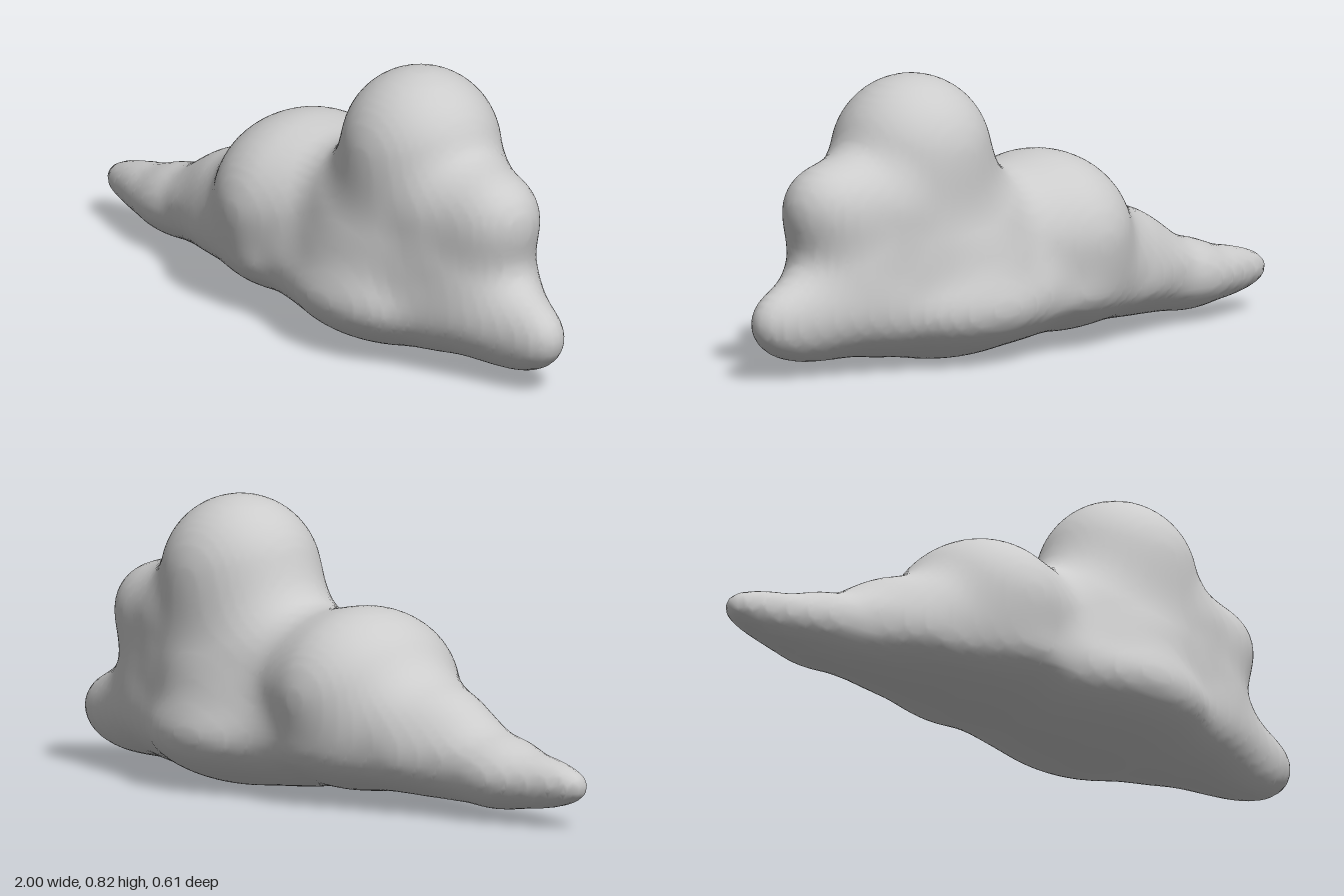
import * as THREE from 'three';

// Puffs of the cloud, all on the z = 0 plane: [x, y, radiusX, radiusY, radiusZ]
const PUFFS = [
  [-0.90, 0.125, 0.10, 0.056, 0.058],  // tail tip
  [-0.69, 0.127, 0.185, 0.09, 0.12],   // tail
  [-0.57, 0.16, 0.17, 0.083, 0.113],   // tail slope
  [-0.45, 0.205, 0.15, 0.135, 0.14],   // tail shoulder
  [-0.34, 0.23, 0.14, 0.14, 0.19],     // slope up to the mound
  [-0.29, 0.15, 0.28, 0.082, 0.18],    // underside
  [-0.08, 0.16, 0.27, 0.10, 0.25],     // underside, middle
  [-0.115, 0.31, 0.25, 0.243, 0.283],  // middle mound
  [0.08, 0.29, 0.20, 0.22, 0.218],     // saddle
  [0.22, 0.41, 0.16, 0.16, 0.19],      // slope up to the crown
  [0.30, 0.165, 0.36, 0.155, 0.303],   // wide base
  [0.32, 0.28, 0.27, 0.22, 0.258],     // flanks above the base
  [0.41, 0.40, 0.29, 0.22, 0.214],     // core under the crown
  [0.39, 0.593, 0.232, 0.23, 0.224],   // crown
  [0.59, 0.46, 0.14, 0.142, 0.16],     // slope down to the side puff
  [0.58, 0.26, 0.22, 0.18, 0.172],     // end flanks
  [0.62, 0.17, 0.22, 0.105, 0.155],    // base end
  [0.68, 0.31, 0.135, 0.18, 0.115],    // neck of the side puff
  [0.72, 0.475, 0.125, 0.117, 0.122],  // side puff
  [0.82, 0.165, 0.18, 0.115, 0.095],   // toe
];
const BLEND = 0.09;

function ellipsoid([cx, cy, rx, ry, rz], x, y, z) {
  const a = (x - cx) / rx, b = (y - cy) / ry, c = z / rz;
  const k0 = Math.hypot(a, b, c);
  const k1 = Math.hypot(a / rx, b / ry, c / rz);
  return k1 < 1e-6 ? -Math.min(rx, ry, rz) : k0 * (k0 - 1) / k1;
}

// Smooth union of all puffs, negative inside
function field(x, y, z) {
  let d = 10;
  for (const puff of PUFFS) {
    const e = ellipsoid(puff, x, y, z);
    const h = Math.max(BLEND - Math.abs(d - e), 0) / BLEND;
    d = Math.min(d, e) - h * h * BLEND / 4;
  }
  return d;
}

// Slide a point along the gradient onto the surface
function settle(p) {
  const e = 0.001;
  for (let i = 0; i < 3; i++) {
    const g = new THREE.Vector3(
      field(p.x + e, p.y, p.z) - field(p.x - e, p.y, p.z),
      field(p.x, p.y + e, p.z) - field(p.x, p.y - e, p.z),
      field(p.x, p.y, p.z + e) - field(p.x, p.y, p.z - e)
    ).divideScalar(2 * e);
    const step = field(p.x, p.y, p.z) / Math.max(g.lengthSq(), 0.2);
    p.addScaledVector(g, -THREE.MathUtils.clamp(step, -0.015, 0.015));
  }
}

// Skin the field with quads: one vertex per crossed cell, one quad per crossed edge
function skin(min, size, step) {
  const n = size.map((s) => Math.round(s / step) + 1);
  const stride = [1, n[0], n[0] * n[1]];
  const at = (i, j, k) => i + j * stride[1] + k * stride[2];
  const values = new Float32Array(n[0] * n[1] * n[2]);
  for (let k = 0; k < n[2]; k++)
    for (let j = 0; j < n[1]; j++)
      for (let i = 0; i < n[0]; i++)
        values[at(i, j, k)] = field(min[0] + i * step, min[1] + j * step, min[2] + k * step);

  const positions = [], index = [];
  const cells = new Map();
  const vertexOf = (cell) => {
    if (!cells.has(cell)) {
      const i = cell % n[0];
      const j = Math.floor(cell / stride[1]) % n[1];
      const k = Math.floor(cell / stride[2]);
      // average of the crossings on the cell's twelve edges
      const p = new THREE.Vector3();
      let count = 0;
      for (let corner = 0; corner < 8; corner++) {
        const o = [corner & 1, (corner >> 1) & 1, corner >> 2];
        const here = at(i + o[0], j + o[1], k + o[2]);
        for (let axis = 0; axis < 3; axis++) {
          if (o[axis]) continue;
          const f0 = values[here], f1 = values[here + stride[axis]];
          if ((f0 < 0) === (f1 < 0)) continue;
          const q = [i + o[0], j + o[1], k + o[2]];
          q[axis] += f0 / (f0 - f1);
          p.add(new THREE.Vector3(...q));
          count++;
        }
      }
      p.multiplyScalar(step / count).add(new THREE.Vector3(...min));
      settle(p);
      cells.set(cell, positions.length / 3);
      positions.push(p.x, p.y, p.z);
    }
    return cells.get(cell);
  };

  for (let k = 1; k < n[2] - 1; k++)
    for (let j = 1; j < n[1] - 1; j++)
      for (let i = 1; i < n[0] - 1; i++) {
        const here = at(i, j, k);
        for (let axis = 0; axis < 3; axis++) {
          const inside = values[here] < 0;
          if (inside === (values[here + stride[axis]] < 0)) continue;
          const b = stride[(axis + 1) % 3], c = stride[(axis + 2) % 3];
          const quad = [here, here - b, here - b - c, here - c].map(vertexOf);
          if (!inside) quad.reverse();
          index.push(quad[0], quad[1], quad[2], quad[0], quad[2], quad[3]);
        }
      }

  const geometry = new THREE.BufferGeometry();
  geometry.setAttribute('position', new THREE.Float32BufferAttribute(positions, 3));
  geometry.setIndex(index);
  return geometry;
}

export function createModel() {
  const group = new THREE.Group();
  group.name = 'cloud';

  const geometry = skin([-1.1, -0.1, -0.4], [2.2, 1.04, 0.8], 0.02);

  // Stand the cloud on y = 0
  geometry.computeBoundingBox();
  geometry.translate(0, -geometry.boundingBox.min.y, 0);
  geometry.computeVertexNormals();

  const cloud = new THREE.Mesh(geometry, new THREE.MeshStandardMaterial({ color: 0xcccccc }));
  cloud.name = 'cloudBody';
  group.add(cloud);
  return group;
}
